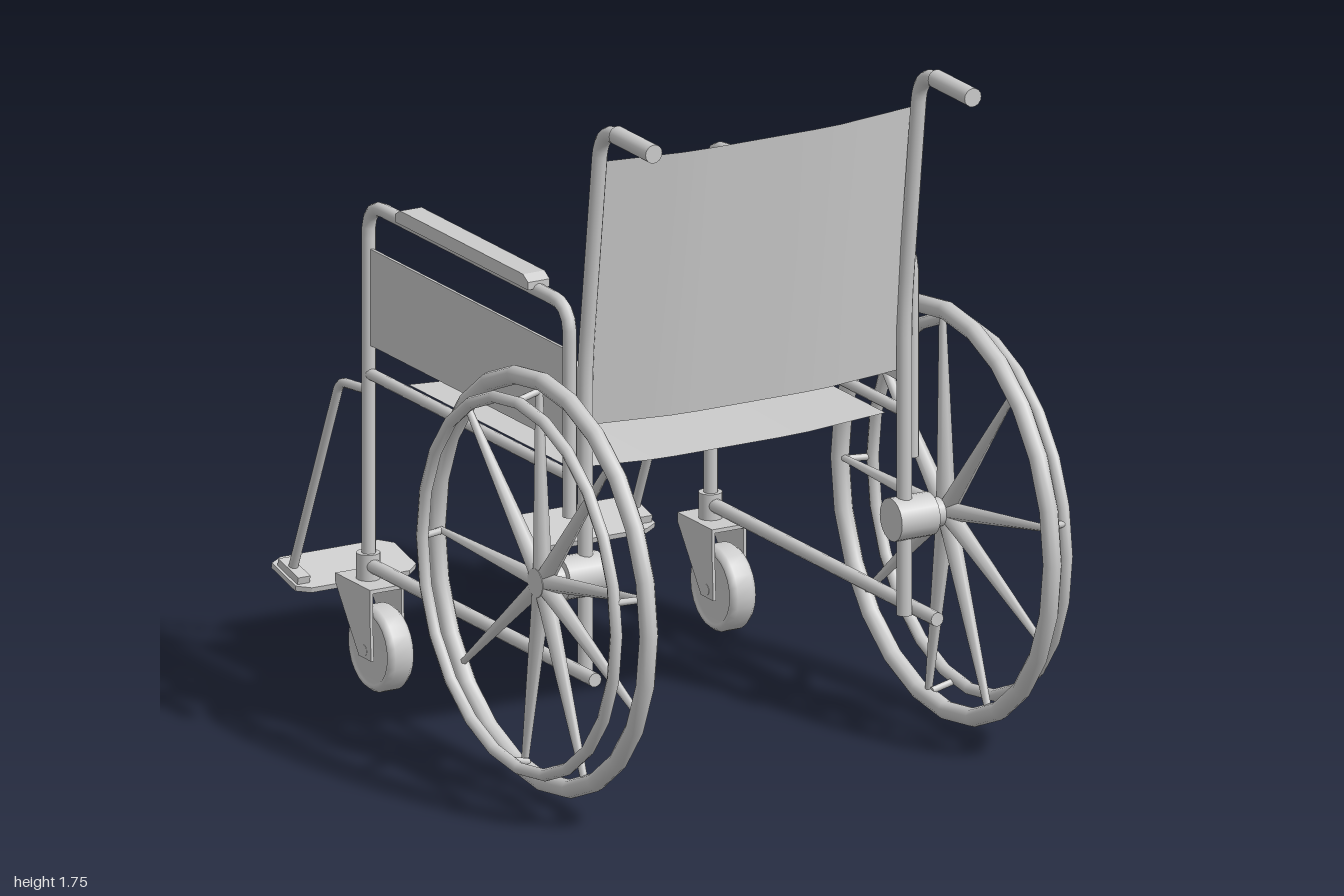
import * as THREE from 'three';

const grey = new THREE.MeshStandardMaterial({ color: 0xcccccc });
const greyThin = new THREE.MeshStandardMaterial({ color: 0xcccccc, side: THREE.DoubleSide });
const V = (x, y, z) => new THREE.Vector3(x, y, z);

function add(parent, name, geometry, x = 0, y = 0, z = 0, material = grey) {
  const mesh = new THREE.Mesh(geometry, material);
  mesh.name = name;
  mesh.position.set(x, y, z);
  parent.add(mesh);
  return mesh;
}

// Straight round bar between two points, r0 at a and r1 at b
function bar(parent, name, a, b, r0, r1 = r0, sides = 12) {
  const dir = b.clone().sub(a);
  const mesh = add(parent, name, new THREE.CylinderGeometry(r1, r0, dir.length(), sides));
  mesh.position.copy(a).addScaledVector(dir, 0.5);
  mesh.quaternion.setFromUnitVectors(V(0, 1, 0), dir.normalize());
  return mesh;
}

// Bent tube in a side plane: points are [z, y], corners rounded by a bend radius
function bentTube(parent, name, x, pts, radius, bend) {
  const p = pts.map(([z, y]) => V(x, y, z));
  const path = new THREE.CurvePath();
  let from = p[0];
  for (let i = 1; i < p.length - 1; i++) {
    const a = p[i].clone().add(p[i - 1].clone().sub(p[i]).setLength(bend));
    const b = p[i].clone().add(p[i + 1].clone().sub(p[i]).setLength(bend));
    path.add(new THREE.LineCurve3(from, a));
    path.add(new THREE.QuadraticBezierCurve3(a, p[i], b));
    from = b;
  }
  path.add(new THREE.LineCurve3(from, p[p.length - 1]));
  add(parent, name, new THREE.TubeGeometry(path, 90, radius, 10), 0, 0, 0, greyThin);
}

// Outline [a, b] extruded by depth and centred on it
function slab(outline, depth) {
  const shape = new THREE.Shape(outline.map(([a, b]) => new THREE.Vector2(a, b)));
  return new THREE.ExtrudeGeometry(shape, { depth, bevelEnabled: false }).translate(0, 0, -depth / 2);
}

// Fabric sling: a sheet whose points come from rule(x, v), flat in the middle
function sling(parent, name, rule) {
  const g = new THREE.PlaneGeometry(1, 1, 12, 1);
  const pos = g.attributes.position;
  for (let i = 0; i < pos.count; i++) {
    const x = pos.getX(i) * 0.9;
    const t = THREE.MathUtils.clamp((0.45 - Math.abs(x)) / 0.25, 0, 1);
    pos.setXYZ(i, x, ...rule(t, pos.getY(i) + 0.5));
  }
  g.computeVertexNormals();
  add(parent, name, g, 0, 0, 0, greyThin);
}

function driveWheel(s) {
  const wheel = new THREE.Group();
  wheel.name = 'driveWheel';
  wheel.position.set(0, 0.55, 0.453);
  const X = s * 0.578, R = s * 0.645;
  add(wheel, 'tyre', new THREE.TorusGeometry(0.518, 0.024, 10, 24).rotateY(Math.PI / 2), X);
  add(wheel, 'handRim', new THREE.TorusGeometry(0.473, 0.016, 8, 24).rotateY(Math.PI / 2), R);
  bar(wheel, 'hub', V(s * 0.42, 0, 0), V(s * 0.53, 0, 0), 0.055, 0.055, 20);
  bar(wheel, 'axle', V(s * 0.53, 0, 0), V(s * 0.6, 0, 0), 0.037, 0.037, 20);
  const at = (x, deg, r) => {
    const a = THREE.MathUtils.degToRad(deg);
    return V(x, Math.sin(a) * r, -Math.cos(a) * r);
  };
  // Tapered spokes
  for (const deg of [0, 44, 88, 130, 170, 205, 246, 280, 321])
    bar(wheel, 'spoke', at(X, deg, 0.02), at(X, deg, 0.505), 0.024, 0.009, 6);
  // Struts from the tyre to the hand rim
  for (const deg of [0, 88, 170, 278])
    bar(wheel, 'rimStrut', at(X, deg, 0.49), at(R, deg, 0.473), 0.009, 0.009, 8);
  return wheel;
}

function caster(s) {
  const g = new THREE.Group();
  g.name = 'caster';
  g.position.x = s * 0.49;
  const profile = [[0, -0.03], [0.085, -0.03], [0.09, -0.035], [0.1, -0.035], [0.11, -0.022],
    [0.11, 0.022], [0.1, 0.035], [0.09, 0.035], [0.085, 0.03], [0, 0.03]];
  const lathe = new THREE.LatheGeometry(profile.map(([r, y]) => new THREE.Vector2(r, y)), 24);
  add(g, 'casterWheel', lathe.rotateZ(-Math.PI / 2), 0, 0.11, -0.485, greyThin);
  bar(g, 'casterAxle', V(-0.05, 0.11, -0.485), V(0.05, 0.11, -0.485), 0.015);
  // Fork cheeks, drawn as [-z, y]
  const cheek = [[0.45, 0.09], [0.51, 0.09], [0.625, 0.25], [0.625, 0.27], [0.455, 0.27], [0.455, 0.2]];
  for (const x of [-0.045, 0.045])
    add(g, 'forkCheek', slab(cheek, 0.008).rotateY(Math.PI / 2), x);
  add(g, 'forkCrown', new THREE.BoxGeometry(0.098, 0.01, 0.17), 0, 0.268, -0.54);
  bar(g, 'casterStem', V(0, 0.265, -0.547), V(0, 0.34, -0.547), 0.03, 0.03, 16);
  return g;
}

function footrest(s) {
  const g = new THREE.Group();
  g.name = 'footrest';
  bentTube(g, 'footrestTube', s * 0.49, [[-0.545, 0.76], [-0.685, 0.745], [-0.92, 0.185]], 0.012, 0.03);
  // Chamfered plate, tilted up at the toe
  const outline = [[0.48, -0.08], [0.2, -0.08], [0.167, -0.055], [0.167, 0.055], [0.2, 0.08],
    [0.48, 0.08], [0.515, 0.06], [0.515, -0.06]].map(([x, z]) => [s * x, z]);
  const plate = add(g, 'footPlate', slab(outline, 0.014), 0, 0.178, -0.918);
  plate.rotation.x = -Math.PI / 2 + 0.24;
  const clamp = add(g, 'plateClamp', new THREE.BoxGeometry(0.035, 0.025, 0.1), s * 0.49, 0.19, -0.91);
  clamp.rotation.x = 0.24;
  return g;
}

function side(s) {
  const g = new THREE.Group();
  g.name = s > 0 ? 'leftSide' : 'rightSide';
  const x = s * 0.49;
  // Back post with push handle
  bentTube(g, 'backPost', s * 0.457,
    [[0.455, 0.3], [0.455, 1.1], [0.535, 1.73], [0.78, 1.73]], 0.02, 0.08);
  bar(g, 'handGrip', V(s * 0.457, 1.73, 0.61), V(s * 0.457, 1.73, 0.79), 0.024, 0.024, 16);
  // Arm frame, rails and skirt panel
  bentTube(g, 'armFrame', x, [[0.435, 0.7], [0.435, 1.245], [-0.545, 1.245], [-0.545, 0.3]], 0.018, 0.075);
  bar(g, 'lowerRail', V(x, 0.31, 0.56), V(x, 0.31, -0.545), 0.018);
  bar(g, 'seatRail', V(x, 0.805, 0.435), V(x, 0.805, -0.545), 0.015);
  add(g, 'skirtPanel', new THREE.BoxGeometry(0.008, 0.25, 0.97), x, 1.005, -0.055);
  // Arm pad with sloped ends, drawn as [-z, y]
  const pad = [[-0.285, 1.25], [0.365, 1.25], [0.365, 1.27], [0.34, 1.285], [-0.26, 1.285], [-0.285, 1.27]];
  add(g, 'armPad', slab(pad, 0.062).rotateY(Math.PI / 2), x);
  g.add(driveWheel(s), caster(s), footrest(s));
  return g;
}

export function createModel() {
  const model = new THREE.Group();
  model.name = 'wheelchair';
  model.add(side(1), side(-1));
  sling(model, 'seat', (t, v) => [0.802 - 0.016 * t, 0.375 - 0.795 * v]);
  sling(model, 'backrest', (t, v) => [0.93 + 0.7 * v, 0.437 + 0.065 * v + 0.042 * t]);
  return model;
}
